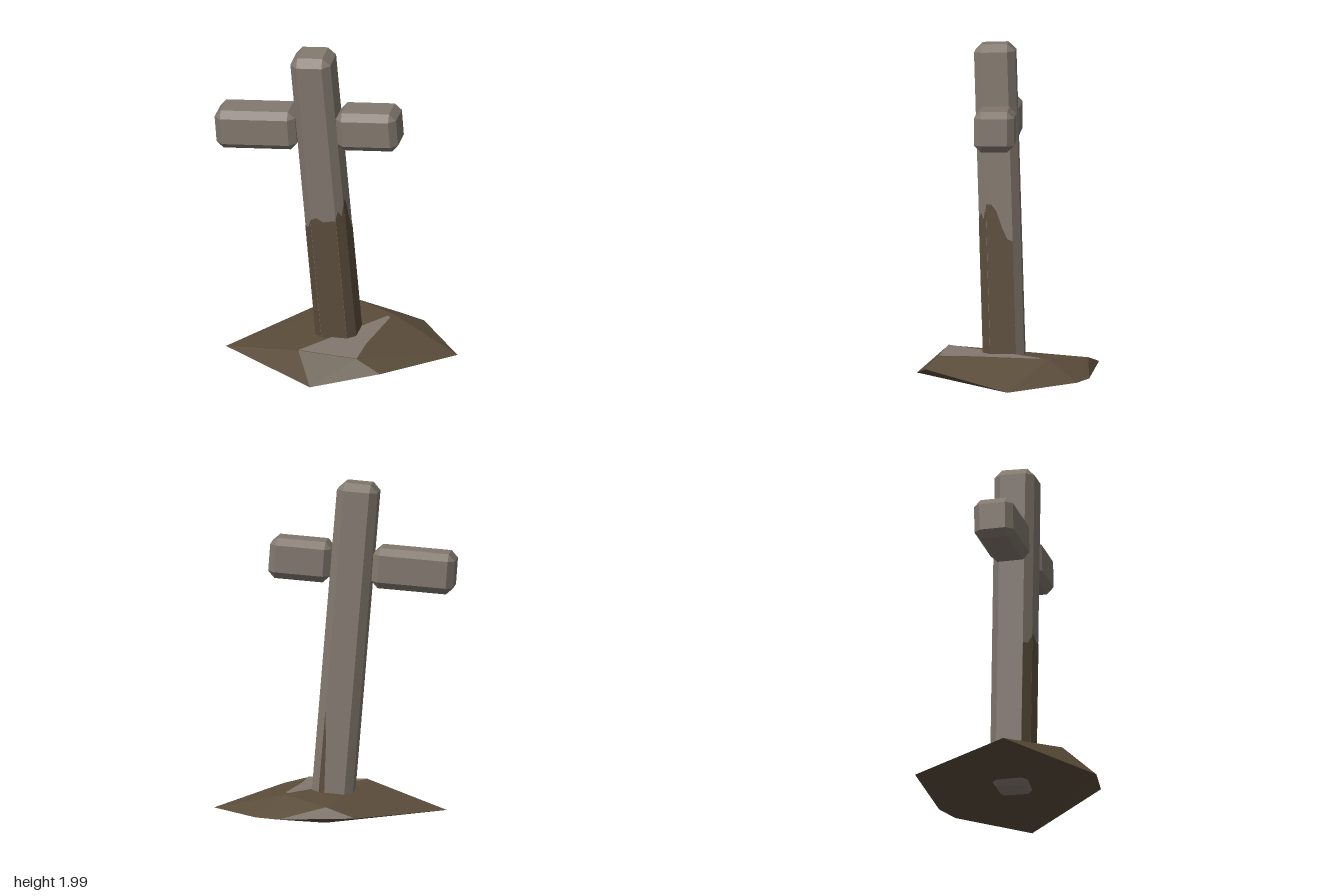
import * as THREE from 'three';
import { ConvexGeometry } from 'three/addons/geometries/ConvexGeometry.js';

const stone = new THREE.MeshStandardMaterial({ color: 0x82786e });
stone.name = 'greyStone';
const soil = new THREE.MeshStandardMaterial({ color: 0x5b4d3b });
soil.name = 'brownSoil';

const hull = (points) => new ConvexGeometry(points.map((p) => new THREE.Vector3(...p)));

// Box with every edge and corner cut off by c
function chamferedBox(w, h, d, c) {
  const points = [];
  for (const x of [-1, 1]) for (const y of [-1, 1]) for (const z of [-1, 1]) {
    points.push([x * w / 2, y * (h / 2 - c), z * (d / 2 - c)]);
    points.push([x * (w / 2 - c), y * h / 2, z * (d / 2 - c)]);
    points.push([x * (w / 2 - c), y * (h / 2 - c), z * d / 2]);
  }
  return hull(points);
}

function add(parent, name, geometry, material) {
  const mesh = new THREE.Mesh(geometry, material);
  mesh.name = name;
  parent.add(mesh);
  return mesh;
}

export function createModel() {
  const model = new THREE.Group();
  model.name = 'graveCross';

  // Leaning post, built upright from its foot
  const post = new THREE.Group();
  post.name = 'post';
  const W = 0.242, C = 0.045, H = 1.98;
  add(post, 'postStone', chamferedBox(W, H, W, C), stone).position.y = H / 2;

  // Soil stains on the sides: heights run left to right as seen from outside
  const flat = { width: W - 2 * C, out: W / 2 };
  const corner = { width: C * Math.SQRT2, out: (W - C) / Math.SQRT2 };
  const stains = [
    ['stainFrontRight', -45, corner, [0.88, 0.88, 0.93]],
    ['stainFront', 0, flat, [0.94, 0.95, 0.925, 0.93, 0.935]],
    ['stainFrontLeft', 45, corner, [0.95, 0.99, 0.95, 1.03]],
    ['stainLeft', 90, flat, [1.04, 1.04, 1.0, 0.9, 0.83, 0.82]],
    ['stainBack', 180, flat, [0.63, 0.45, 0.05, 0.05, 0.05, 0.05, 0.05, 0.05, 0.05]],
  ];
  for (const [name, degrees, side, heights] of stains) {
    const shape = new THREE.Shape();
    const half = side.width / 2;
    shape.moveTo(half, 0.05);
    shape.lineTo(-half, 0.05);
    heights.forEach((y, i) => shape.lineTo(-half + side.width * i / (heights.length - 1), y));
    const geometry = new THREE.ShapeGeometry(shape);
    geometry.translate(0, 0, side.out + 0.002);
    geometry.rotateY(THREE.MathUtils.degToRad(degrees));
    add(post, name, geometry, soil);
  }
  post.position.set(0.02, 0.01, 0.008);
  post.rotation.set(0.034, 0, 0.079);
  model.add(post);

  // Two separate arms of the crossbar
  const arms = [
    ['rightArm', 0.485, -0.465, 1.474],
    ['leftArm', 0.365, 0.204, 1.528],
  ];
  for (const [name, length, x, y] of arms) {
    const arm = add(model, name, chamferedBox(length, 0.24, 0.235, 0.04), stone);
    arm.position.set(x, y, 0.057);
    arm.rotation.z = 0.075;
  }

  // Faceted mound of earth
  add(model, 'mound', hull([
    [-0.65, 0.035, 0.11], [-0.05, 0.025, 0.53], [0.355, 0.12, 0.46], [0.71, 0.05, -0.04],
    [0.42, 0.06, -0.435], [0.28, 0.06, -0.5], [-0.18, 0.08, -0.535], [0, 0.045, -0.49],
    [0, 0.135, -0.48], [-0.16, 0.17, 0.35], [0.2, 0.17, 0.39], [0.27, 0.17, -0.26],
  ]), soil);

  // Bare stone patch on the top of the mound
  const patch = new THREE.Shape([
    [-0.16, 0.35], [0.2, 0.39], [0.21, 0.18], [0.27, -0.2], [0.25, -0.22],
  ].map(([x, z]) => new THREE.Vector2(x, -z)));
  const patchGeometry = new THREE.ShapeGeometry(patch);
  patchGeometry.rotateX(-Math.PI / 2);
  add(model, 'stonePatch', patchGeometry, stone).position.y = 0.173;

  return model;
}
